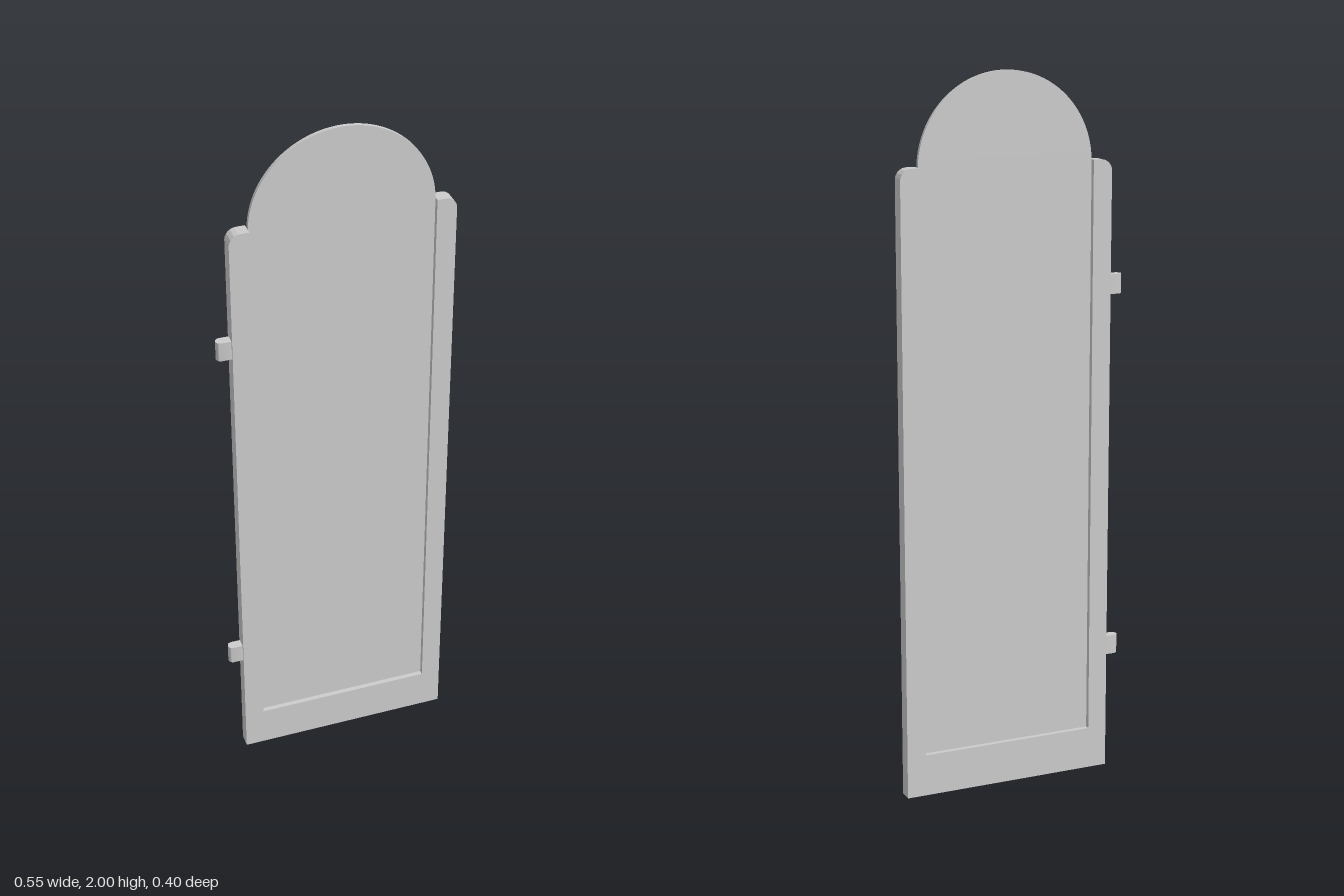
import * as THREE from 'three';
import { toCreasedNormals } from 'three/addons/utils/BufferGeometryUtils.js';

const material = new THREE.MeshStandardMaterial({ color: 0xcccccc });

// Extrudes a shape to a thickness centred on its plane
function slab(name, shape, depth, curveSegments = 24) {
  const geometry = new THREE.ExtrudeGeometry(shape, { depth, bevelEnabled: false, curveSegments });
  geometry.translate(0, 0, -depth / 2);
  const mesh = new THREE.Mesh(toCreasedNormals(geometry, 0.6), material);
  mesh.name = name;
  return mesh;
}

export function createModel() {
  const half = 0.306, inner = 0.251, railTop = 0.12, stileTop = 1.755, corner = 0.032;
  const door = new THREE.Group();
  door.name = 'door';

  // U-shaped frame: bottom rail and two stiles with rounded outer top corners
  const frame = new THREE.Shape();
  frame.moveTo(-half, 0);
  frame.lineTo(half, 0);
  frame.lineTo(half, stileTop - corner);
  frame.absarc(half - corner, stileTop - corner, corner, 0, Math.PI / 2, false);
  frame.lineTo(inner, stileTop);
  frame.lineTo(inner, railTop);
  frame.lineTo(-inner, railTop);
  frame.lineTo(-inner, stileTop);
  frame.absarc(-half + corner, stileTop - corner, corner, Math.PI / 2, Math.PI, false);
  frame.closePath();
  door.add(slab('frame', frame, 0.039, 10));

  // Thin arched panel set in the middle of the frame
  const panel = new THREE.Shape();
  panel.moveTo(-inner, railTop);
  panel.lineTo(inner, railTop);
  panel.absarc(0, 2 - inner, inner, 0, Math.PI, false);
  panel.closePath();
  door.add(slab('panel', panel, 0.011, 32));

  // Hinge tabs with a rounded end on the outer edge of one stile
  const r = 0.0135, pin = -0.3325;
  const tab = new THREE.Shape();
  tab.moveTo(-half + 0.005, -r);
  tab.lineTo(-half + 0.005, r);
  tab.lineTo(pin, r);
  tab.absarc(pin, 0, r, Math.PI / 2, Math.PI * 1.5, false);
  tab.closePath();
  for (const [name, y] of [['lowerHinge', 0.363], ['upperHinge', 1.411]]) {
    const hinge = slab(name, tab, 0.055, 12);
    hinge.rotation.x = -Math.PI / 2;
    hinge.position.y = y;
    door.add(hinge);
  }

  // The door stands swung open about the vertical axis
  door.rotation.y = -0.613;
  door.position.set(0.0105, 0, 0.0045);

  const model = new THREE.Group();
  model.name = 'archedDoor';
  model.add(door);
  return model;
}
